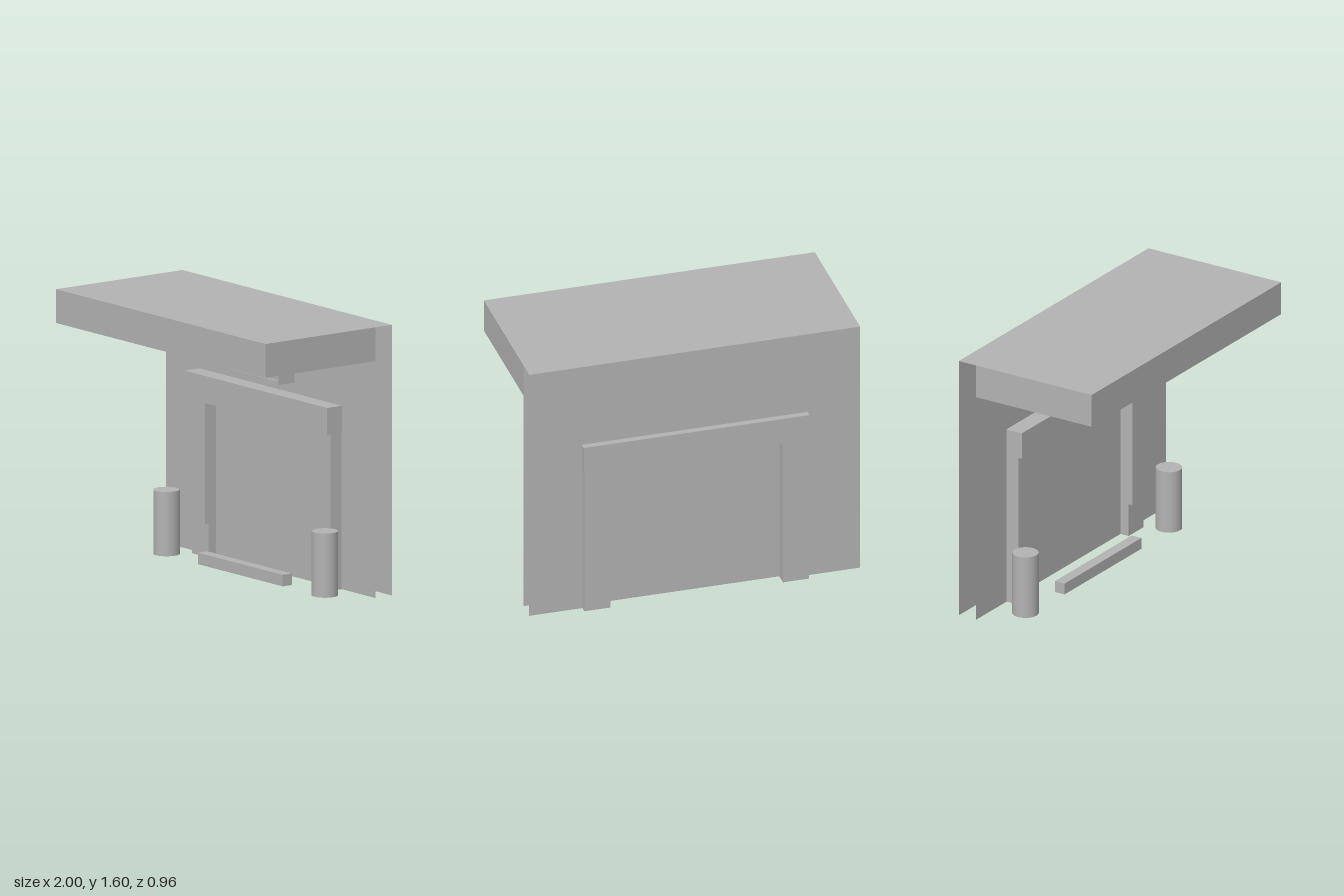
import * as THREE from 'three';

const concrete = new THREE.MeshStandardMaterial({ color: 0xb2b2b2, side: THREE.DoubleSide });
concrete.name = 'plain grey';

// Face order of a box: 0 +x, 1 -x, 2 +y, 3 -y, 4 +z, 5 -z
function box(name, [x0, x1], [y0, y1], [z0, z1], openFaces = []) {
  const geo = new THREE.BoxGeometry(x1 - x0, y1 - y0, z1 - z0);
  const index = Array.from(geo.index.array);
  geo.setIndex(index.filter((_, i) => !openFaces.includes(Math.floor(i / 6))));
  geo.clearGroups();
  geo.translate((x0 + x1) / 2, (y0 + y1) / 2, (z0 + z1) / 2);
  return named(name, geo);
}

function named(name, geo) {
  const mesh = new THREE.Mesh(geo, concrete);
  mesh.name = name;
  return mesh;
}

function outline(points) {
  return new THREE.Shape(points.map(([x, y]) => new THREE.Vector2(x, y)));
}

function rect(w, y0, y1) {
  return outline([[-w, y0], [w, y0], [w, y1], [-w, y1]]);
}

export function createModel() {
  const model = new THREE.Group();
  model.name = 'loadingDock';

  const wallFront = -0.32, wallBack = -0.44, frameBack = -0.48;
  const doorHalf = 0.522, doorTop = 0.925;

  // Two thin wall skins, open at the sides and the bottom
  const front = named('frontWall', new THREE.ShapeGeometry(rect(1, 0, 1.6)));
  front.position.z = wallFront;
  const back = named('backWall', new THREE.ShapeGeometry(outline([
    [-1, 0], [-doorHalf, 0], [-doorHalf, doorTop], [doorHalf, doorTop],
    [doorHalf, 0], [1, 0], [1, 1.6], [-1, 1.6],
  ])).rotateY(Math.PI));
  back.position.z = wallBack;
  model.add(front, back);

  // Roof slab, with a strip capping the gap between the wall skins
  model.add(box('canopy', [-1, 1], [1.4, 1.6], [wallFront, 0.48], [5]));
  const cap = named('wallCap', new THREE.PlaneGeometry(2, wallFront - wallBack).rotateX(-Math.PI / 2));
  cap.position.set(0, 1.6, (wallFront + wallBack) / 2);
  model.add(cap);

  // Door panel set into the back opening
  model.add(box('door', [-doorHalf, doorHalf], [0, doorTop], [-0.405, wallFront - 0.002]));

  // Padded door surround
  model.add(box('lintel', [-0.682, 0.682], [doorTop, 1.085], [frameBack, -0.212]));
  for (const side of [-1, 1]) {
    const label = side > 0 ? 'left' : 'right';
    const span = side > 0 ? [doorHalf, 0.678] : [-0.678, -doorHalf];
    model.add(box(label + 'Jamb', span, [0.2, doorTop], [frameBack, -0.238]));
    model.add(box(label + 'JambBase', span, [0, 0.2], [frameBack, -0.264], [2, 3]));

    // Guard post
    const post = named(label + 'Bollard', new THREE.CylinderGeometry(0.077, 0.077, 0.38, 32));
    post.position.set(side * 0.756, 0.19, -0.138);
    model.add(post);
  }

  // Low wheel stop on the ground
  model.add(box('wheelStop', [-0.405, 0.405], [0, 0.068], [-0.165, -0.098]));

  // Lamp housing above the door with a shallow recessed face
  const rim = rect(0.226, 1.147, 1.287);
  rim.holes.push(rect(0.206, 1.168, 1.267));
  const housing = named('lampHousing', new THREE.ExtrudeGeometry(rim, { depth: 0.115, bevelEnabled: false }));
  housing.position.z = wallFront;
  model.add(housing);
  const lens = named('lampFace', new THREE.ShapeGeometry(rect(0.206, 1.168, 1.267)));
  lens.position.z = -0.22;
  model.add(lens);

  return model;
}
